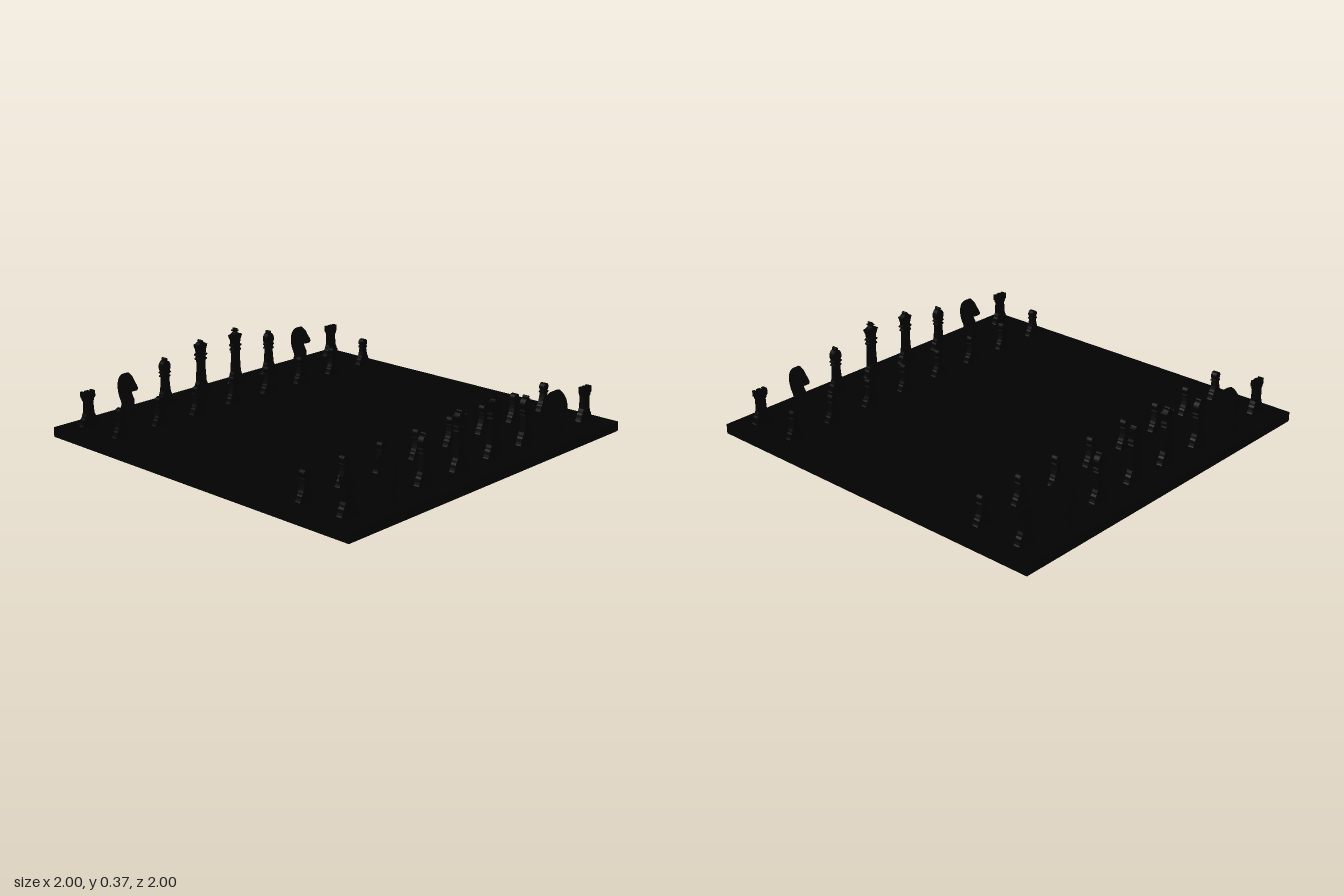
import * as THREE from 'three';

const BOARD = 0.05, THICK = 0.03, SQUARE = 0.25;
const material = new THREE.MeshStandardMaterial({ color: 0x020202, roughness: 1 });

// Points of a right-hand arc, angles in degrees from straight right
function arc(y, rx, ry, from, to, n = 8) {
  return Array.from({ length: n + 1 }, (_, i) => {
    const a = THREE.MathUtils.degToRad(from + (to - from) * i / n);
    return [rx * Math.cos(a), y + ry * Math.sin(a)];
  });
}

// Flat plate from a closed outline, centred on its thickness
function plate(points) {
  const shape = new THREE.Shape(points.map(([x, y]) => new THREE.Vector2(x, y)));
  const geo = new THREE.ExtrudeGeometry(shape, { depth: THICK, bevelEnabled: false });
  return geo.translate(0, 0, -THICK / 2);
}

// Symmetric plate from its right-hand edge, listed bottom to top
function symmetric(half) {
  const left = half.filter(([x]) => x > 1e-5).map(([x, y]) => [-x, y]).reverse();
  return plate([...half, ...left]);
}

// Stepped foot and flaring skirt shared by the pieces
const foot = (w, s = 1) => [
  [w, 0], [w, 0.013 * s], [w * 0.92, 0.018 * s], [w * 0.84, 0.03 * s], [w * 0.78, 0.045 * s],
  [w * 0.64, 0.054 * s], [w * 0.6, 0.062 * s], [w * 0.48, 0.075 * s],
];

const pieces = {
  pawn: symmetric([
    ...foot(0.045, 0.8), [0.016, 0.08], [0.012, 0.1], [0.013, 0.103], [0.021, 0.106], [0.021, 0.112],
    [0.013, 0.116], ...arc(0.134, 0.02, 0.02, -50, 90, 10),
  ]),
  rook: symmetric([
    ...foot(0.052), [0.023, 0.1], [0.021, 0.135], [0.027, 0.142], [0.027, 0.15], [0.035, 0.156],
    [0.035, 0.187], [0.022, 0.187], [0.022, 0.176], [0.011, 0.176], [0.011, 0.187],
  ]),
  bishop: symmetric([
    ...foot(0.05), [0.021, 0.1], [0.016, 0.15], [0.026, 0.154], [0.026, 0.16], [0.019, 0.164],
    [0.019, 0.17], [0.029, 0.174], [0.029, 0.18], [0.022, 0.184],
    ...arc(0.208, 0.028, 0.034, -40, 78, 10), ...arc(0.247, 0.008, 0.008, -50, 90, 6),
  ]),
  queen: symmetric([
    ...foot(0.052), [0.023, 0.1], [0.019, 0.15], [0.019, 0.19], [0.03, 0.195], [0.03, 0.202],
    [0.022, 0.207], [0.022, 0.213], [0.034, 0.218], [0.034, 0.224], [0.023, 0.23], [0.025, 0.247],
    [0.036, 0.275], [0.028, 0.28], [0.024, 0.272], [0.018, 0.284], [0.013, 0.288],
    ...arc(0.293, 0.008, 0.008, -40, 90, 6),
  ]),
  king: symmetric([
    ...foot(0.052), [0.023, 0.1], [0.02, 0.15], [0.02, 0.19], [0.03, 0.195], [0.03, 0.202],
    [0.022, 0.207], [0.022, 0.214], [0.033, 0.219], [0.033, 0.225], [0.022, 0.231], [0.025, 0.25],
    [0.039, 0.28], [0.02, 0.284], [0.009, 0.29], [0.004, 0.294], [0.004, 0.3], [0.014, 0.3],
    [0.014, 0.307], [0.004, 0.307], [0.004, 0.317],
  ]),
};

// Knight: foot plus a smooth horse-head outline facing +x
const horse = new THREE.CatmullRomCurve3([
  [0.031, 0.054], [0.035, 0.075], [0.034, 0.092], [0.022, 0.11], [0.016, 0.127], [0.024, 0.14],
  [0.044, 0.14], [0.059, 0.144], [0.066, 0.158], [0.058, 0.172], [0.043, 0.188], [0.03, 0.206],
  [0.012, 0.218], [-0.006, 0.225], [-0.028, 0.214], [-0.048, 0.191], [-0.059, 0.158],
  [-0.058, 0.122], [-0.048, 0.09], [-0.037, 0.07], [-0.033, 0.054],
].map(([x, y]) => new THREE.Vector3(x, y, 0))).getPoints(60).map((p) => [p.x, p.y]);
const knightFoot = foot(0.05).slice(0, 5);
pieces.knight = plate([...knightFoot, ...horse, ...knightFoot.map(([x, y]) => [-x, y]).reverse()]);

export function createModel() {
  const model = new THREE.Group();
  model.name = 'chessSet';

  const board = new THREE.Mesh(new THREE.BoxGeometry(2, BOARD, 2), material);
  board.name = 'board';
  board.position.y = BOARD / 2;
  model.add(board);

  // Two facing armies, each with a back rank and a row of pawns
  const rank = ['rook', 'knight', 'bishop', 'queen', 'king', 'bishop', 'knight', 'rook'];
  for (const side of [1, -1]) {
    const army = new THREE.Group();
    army.name = side > 0 ? 'frontArmy' : 'backArmy';
    rank.forEach((kind, file) => {
      for (const [name, z] of [[kind, 3.5], ['pawn', 2.5]]) {
        const piece = new THREE.Mesh(pieces[name], material);
        piece.name = name;
        piece.position.set((file - 3.5) * SQUARE, BOARD, side * z * SQUARE);
        // Knights stand edge-on and look across the board
        if (name === 'knight') piece.rotation.y = side * Math.PI / 2;
        army.add(piece);
      }
    });
    model.add(army);
  }
  return model;
}
